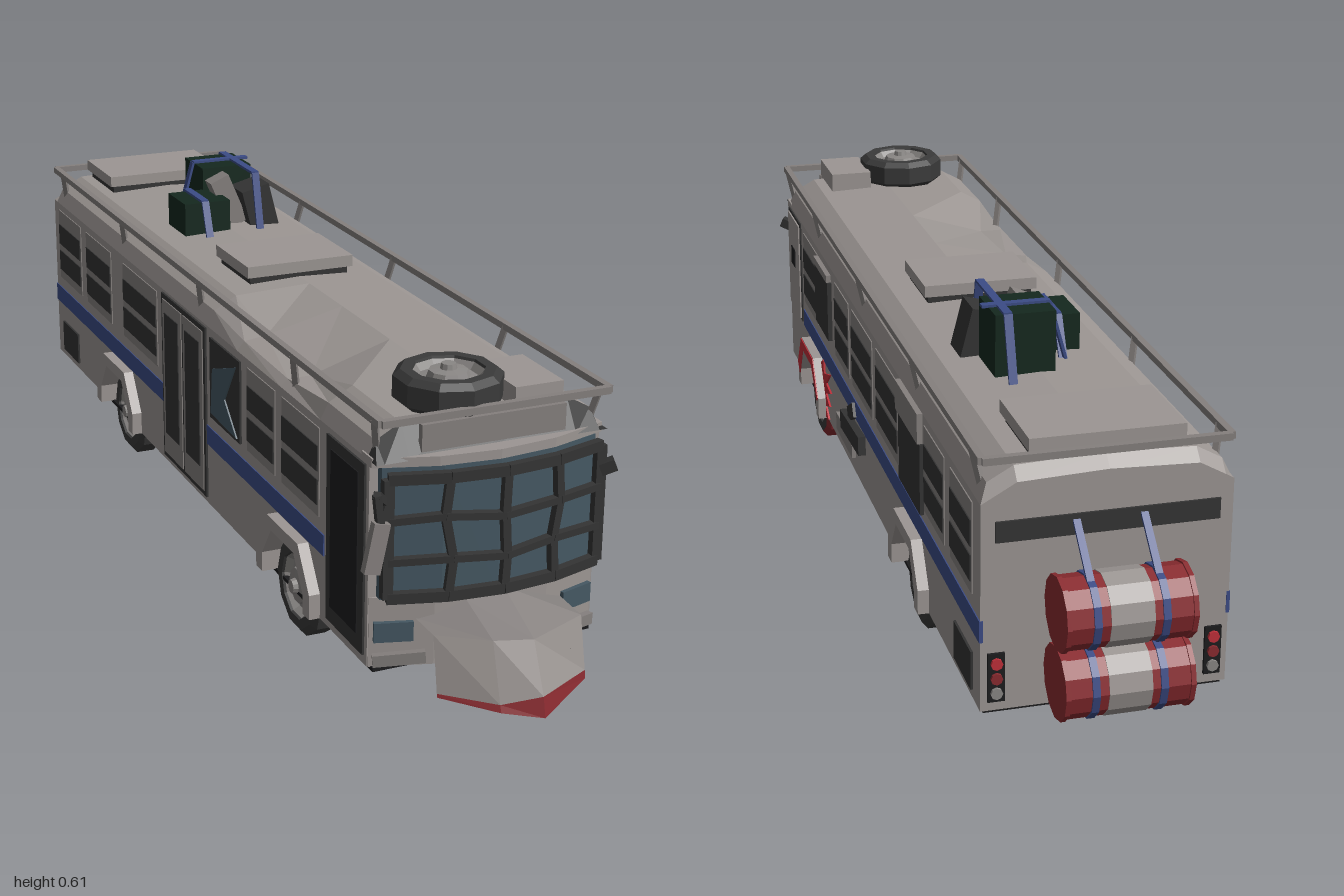
import * as THREE from 'three';

const CX = 0.008, HALF = 0.205, FLOOR = 0.083;
const C = { body: 0x9c9693, trim: 0x85807e, dark: 0x343434, black: 0x1c1c1e, glass: 0x455863, blue: 0x3c4c86,
  red: 0x8a2b30, blood: 0xc0303a, green: 0x14281e, tyre: 0x3a3a3a, rim: 0x8a8785 };

export function createModel() {
  const model = new THREE.Group();
  const mats = {};
  const mat = (c) => mats[c] ??= new THREE.MeshStandardMaterial({ color: C[c], flatShading: true, side: THREE.DoubleSide });
  const add = (name, geo, c, parent = model) => {
    const m = new THREE.Mesh(geo, mat(c));
    m.name = name;
    parent.add(m);
    return m;
  };
  // Box from its bounds
  const box = (name, c, x0, x1, y0, y1, z0, z1) => {
    const m = add(name, new THREE.BoxGeometry(x1 - x0, y1 - y0, z1 - z0), c);
    m.position.set((x0 + x1) / 2, (y0 + y1) / 2, (z0 + z1) / 2);
    return m;
  };
  // Square bar between two points
  const bar = (name, c, p, q, t, w = t) => {
    const a = new THREE.Vector3(...p), b = new THREE.Vector3(...q);
    const m = add(name, new THREE.BoxGeometry(w, t, a.distanceTo(b)), c);
    m.position.copy(a).lerp(b, 0.5);
    m.lookAt(b);
    return m;
  };
  // Side outline [z, y] extruded across x
  const sideways = (name, c, pts, x0, x1) => {
    const g = new THREE.ExtrudeGeometry(new THREE.Shape(pts.map((p) => new THREE.Vector2(...p))), { depth: x1 - x0, bevelEnabled: false });
    return add(name, g.rotateY(-Math.PI / 2).translate(x1, 0, 0), c);
  };
  // Surface through rows of points
  const grid = (name, c, rows) => {
    const n = rows[0].length, idx = [];
    for (let r = 0; r < rows.length - 1; r++) for (let j = 0; j < n - 1; j++) {
      const a = r * n + j, b = a + n;
      idx.push(a, b + 1, b, a, a + 1, b + 1);
    }
    const g = new THREE.BufferGeometry();
    g.setAttribute('position', new THREE.Float32BufferAttribute(rows.flat(2), 3));
    g.setIndex(idx);
    g.computeVertexNormals();
    return add(name, g, c);
  };
  const wallX = (s, out = 0) => CX + s * (HALF + out);
  // Thin panel on a side wall
  const panel = (name, c, s, z0, z1, y0, y1, out = 0.004) => {
    const a = wallX(s, -0.004), b = wallX(s, out);
    return box(name, c, Math.min(a, b), Math.max(a, b), y0, y1, z0, z1);
  };

  // Hull with wheel openings
  const FRONT = 0.505, REAR = -0.414;
  const notch = (z) => [[-0.09, FLOOR], [-0.09, 0.12], [-0.05, 0.178], [0.05, 0.178], [0.09, 0.12], [0.09, FLOOR]].map(([d, y]) => [z + d, y]);
  sideways('hull', 'body', [[-0.875, FLOOR], ...notch(REAR), ...notch(FRONT), [0.81, FLOOR], [0.81, 0.44], [-0.875, 0.44]], wallX(-1), wallX(1));
  box('underside', 'black', wallX(-1, -0.006), wallX(1, -0.006), 0.077, 0.084, -0.87, 0.82);
  box('chassis', 'black', -0.07, 0.086, 0.08, 0.2, -0.8, 0.7);

  // Roof with a dent on the right-hand side
  const section = ([z, dent, drop = 0]) => [[1, 0.44], [0.93, 0.468], [0.72, 0.492], [0, 0.498], [-0.72, 0.492 - dent], [-0.93, 0.468 - dent * 0.4], [-1, 0.44]]
    .map(([u, y]) => [CX + u * HALF, Math.max(0.44, y - drop), z]);
  const stations = [[-0.875, 0, 0.02], [-0.855, 0], [-0.3, 0], [0.1, 0], [0.25, 0.03], [0.45, 0.04], [0.62, 0], [0.8, 0]].map(section);
  grid('roof', 'body', stations);
  grid('roofBack', 'body', [stations[0], stations[0].map(([x, , z]) => [x, 0.44, z])]);
  grid('roofBrow', 'dark', [section([0.8, 0]), section([0.835, 0, 0.1])]);
  bar('signPanel', 'trim', [-0.118, 0.472, 0.826], [0.137, 0.472, 0.826], 0.045, 0.012);

  // Bowed front: bumper, windshield, header
  const bow = (x, off = 0) => 0.86 + off - 0.04 * ((x - CX) / 0.2) ** 2;
  const nose = (name, c, y0, y1, off, half) => {
    const xs = [-1, -0.5, 0, 0.5, 1].map((u) => CX + u * half);
    const pts = [[xs[0], 0.78], ...xs.map((x) => [x, bow(x, off)]), [xs[4], 0.78]];
    const s = new THREE.Shape(pts.map(([x, z]) => new THREE.Vector2(x, -z)));
    const g = new THREE.ExtrudeGeometry(s, { depth: y1 - y0, bevelEnabled: false });
    add(name, g.rotateX(-Math.PI / 2).translate(0, y0, 0), c);
  };
  nose('bumper', 'body', FLOOR, 0.205, -0.008, 0.203);
  nose('windshield', 'glass', 0.205, 0.43, 0, 0.19);
  nose('header', 'body', 0.43, 0.446, 0, 0.205);
  for (const s of [-1, 1]) {
    const x = (d) => CX + s * d;
    bar('headlight', 'glass', [x(0.197), 0.146, bow(x(0.197), -0.005)], [x(0.135), 0.146, bow(x(0.135), -0.008)], 0.034, 0.01);
    bar('lowerBumper', 'trim', [x(0.2), 0.098, 0.82], [x(0.12), 0.105, 0.85], 0.02, 0.012);
  }

  // Windshield cage
  const cols = [-0.18, -0.085, 0.01, 0.105, 0.198], levels = [0.216, 0.278, 0.347, 0.418];
  const knot = (i, j) => {
    const inner = i % 4 && j % 3 ? 1 : 0;
    const x = cols[i] + inner * 0.007 * Math.sin(i * 5 + j * 3);
    return [x, levels[j] + inner * 0.006 * Math.cos(i * 4 + j), bow(x, 0.017)];
  };
  cols.forEach((_, i) => levels.forEach((_, j) => {
    const edgeV = i % 4 ? 0.012 : 0.018, edgeH = j % 3 ? 0.012 : 0.018;
    if (j < 3) bar('cageUpright', 'dark', knot(i, j), knot(i, j + 1), 0.014, edgeV);
    if (i < 4) bar('cageCrossbar', 'dark', knot(i, j), knot(i + 1, j), edgeH, 0.014);
  }));

  // Plough blade with stained lower edge
  const px = [-0.122, -0.04, 0.025, 0.142];
  const row = (ys, zs) => px.map((x, i) => [x, ys[i], zs[i]]);
  const topRow = row([0.165, 0.16, 0.157, 0.152], [0.895, 0.94, 0.955, 0.9]);
  const stainRow = row([0.07, 0.062, 0.074, 0.062], [0.912, 0.97, 0.992, 0.92]);
  grid('ploughBlade', 'body', [topRow, stainRow]);
  grid('ploughStain', 'red', [stainRow, row([0.064, 0.05, 0.04, 0.048], [0.914, 0.975, 1, 0.922])]);
  grid('ploughHood', 'trim', [row([0.165, 0.19, 0.203, 0.155], [0.83, 0.845, 0.85, 0.83]), topRow]);
  for (const x of [-0.08, 0.1]) bar('ploughArm', 'dark', [x, 0.1, 0.82], [x, 0.1, 0.925], 0.02);

  // Wheels and flared arches
  const lathe = (pts) => new THREE.LatheGeometry(pts.map((p) => new THREE.Vector2(...p)), 10);
  const wheel = (name, x, y, z, s, tread = 'tyre') => {
    const g = new THREE.Group();
    g.name = name;
    add('tyre', lathe([[0, -0.028], [0.078, -0.028], [0.09, -0.018], [0.09, 0.018], [0.078, 0.028], [0.06, 0.028], [0.055, 0.012]]), 'tyre', g);
    if (tread !== 'tyre') add('tread', lathe([[0.078, -0.0285], [0.0905, -0.018], [0.0905, 0.018], [0.08, 0.0275]]), tread, g);
    add('rim', lathe([[0.059, 0.024], [0.05, 0.012], [0.036, 0.014], [0.032, 0.025], [0.014, 0.027], [0.012, 0.036], [0, 0.036]]), 'rim', g);
    g.position.set(x, y, z);
    if (s) g.rotation.z = -s * Math.PI / 2;
    model.add(g);
    return g;
  };
  for (const s of [-1, 1]) {
    wheel('frontWheel', CX + s * 0.172, 0.09, FRONT, s, s > 0 ? 'red' : 'tyre');
    wheel('rearWheel', CX + s * 0.168, 0.09, REAR, s);
    wheel('rearInnerWheel', CX + s * 0.108, 0.09, REAR, s);
    for (const z of [FRONT, REAR]) {
      const outer = [[0.118, FLOOR], [0.118, 0.128], [0.068, 0.202], [-0.068, 0.202], [-0.118, 0.128], [-0.118, FLOOR]].map(([d, y]) => [z + d, y]);
      const a = wallX(s, -0.02), b = wallX(s, 0.02);
      sideways('wheelArch', 'body', [...notch(z), ...outer], Math.min(a, b), Math.max(a, b));
    }
  }

  // Side stripe, vents and barred windows
  const windows = { 1: [[0.46, 0.62], [0.13, 0.27], [-0.09, 0.1], [-0.31, -0.125], [-0.65, -0.51], [-0.83, -0.69]],
    '-1': [[0.46, 0.62], [0.3, 0.43], [-0.39, -0.18], [-0.64, -0.47], [-0.84, -0.68]] };
  for (const s of [-1, 1]) {
    panel('stripe', 'blue', s, -0.876, 0.64, 0.205, 0.243, 0.002);
    panel('sideVent', 'dark', s, -0.83, -0.72, 0.098, 0.166);
    for (const [z0, z1] of windows[s]) {
      panel('windowFrame', 'trim', s, z0, z1, 0.268, 0.425, 0.002);
      for (const y of [0.288, 0.348]) panel('windowSlit', 'dark', s, z0 + 0.004, z1 - 0.004, y, y + 0.045, 0.004);
    }
  }

  // Left side: door, boarded windows, patch planks, stain
  panel('doorFrame', 'dark', 1, 0.652, 0.795, 0.21, 0.435, 0.003);
  panel('door', 'body', 1, 0.66, 0.787, 0.216, 0.428, 0.006);
  panel('doorWindow', 'black', 1, 0.705, 0.745, 0.32, 0.36, 0.008);
  panel('boardedWindow', 'dark', 1, 0.31, 0.45, 0.285, 0.41, 0.009);
  panel('boardTop', 'trim', 1, 0.315, 0.455, 0.41, 0.425, 0.01);
  panel('boardedWindow', 'dark', 1, -0.5, -0.335, 0.255, 0.385, 0.007);
  panel('boardTop', 'trim', 1, -0.495, -0.325, 0.385, 0.44, 0.01);
  panel('patchPlank', 'dark', 1, -0.01, 0.17, 0.157, 0.195, 0.015).rotation.x = 0.06;
  panel('patchPlank', 'trim', 1, 0.09, 0.25, 0.115, 0.152, 0.008);
  panel('patchPlank', 'dark', 1, 0.07, 0.13, 0.195, 0.225, 0.008).rotation.x = 0.5;
  sideways('stain', 'blood', [[0.4, 0.084], [0.36, 0.09], [0.39, 0.11], [0.345, 0.125], [0.385, 0.14], [0.33, 0.16], [0.38, 0.165], [0.335, 0.2],
    [0.4, 0.18], [0.405, 0.21], [0.44, 0.19], [0.49, 0.19], [0.56, 0.195], [0.54, 0.17], [0.45, 0.165], [0.42, 0.12]], wallX(1), wallX(1, 0.004));
  sideways('archStain', 'blood', [[0.6, 0.11], [0.62, 0.13], [0.573, 0.2], [0.437, 0.2], [0.39, 0.13], [0.4, 0.12], [0.455, 0.18], [0.555, 0.18]], wallX(1, 0.02), wallX(1, 0.022));

  // Right side: front door, middle double door, broken window
  panel('frontDoor', 'dark', -1, 0.655, 0.8, 0.1, 0.43);
  panel('frontDoorGlass', 'black', -1, 0.675, 0.78, 0.13, 0.41, 0.006);
  panel('middleDoorFrame', 'dark', -1, -0.145, 0.095, 0.095, 0.435);
  for (const z of [-0.135, -0.02]) {
    panel('middleDoorLeaf', 'trim', -1, z, z + 0.105, 0.105, 0.425, 0.006);
    panel('middleDoorGlass', 'dark', -1, z + 0.015, z + 0.09, 0.15, 0.4, 0.008);
  }
  panel('brokenWindow', 'dark', -1, 0.12, 0.27, 0.268, 0.425);
  sideways('glassShard', 'glass', [[0.13, 0.28], [0.26, 0.275], [0.2, 0.33], [0.255, 0.41], [0.14, 0.37]], wallX(-1, 0.007), wallX(-1, 0.004));

  // Back: window band, lamps, drums with straps
  box('backWindow', 'dark', -0.175, 0.19, 0.375, 0.41, -0.879, -0.87);
  for (const s of [-1, 1]) {
    box('lampPanel', 'black', CX + s * 0.18 - 0.014, CX + s * 0.18 + 0.014, 0.1, 0.185, -0.88, -0.87);
    ['rim', 'red', 'blood'].forEach((c, i) => {
      const lamp = add('backLamp', new THREE.CylinderGeometry(0.01, 0.01, 0.01, 8).rotateX(Math.PI / 2), c);
      lamp.position.set(CX + s * 0.18, 0.116 + i * 0.026, -0.88);
    });
  }
  const disc = (name, c, r, x0, x1, y, z) => {
    const g = new THREE.CylinderGeometry(r, r, x1 - x0, 12).rotateZ(Math.PI / 2);
    add(name, g, c).position.set((x0 + x1) / 2, y, z);
  };
  for (const y of [0.275, 0.156]) {
    disc('drum', 'red', 0.059, -0.098, 0.108, y, -0.938);
    for (const x of [-0.1, 0.102]) disc('drumRim', 'red', 0.062, x, x + 0.008, y, -0.938);
    disc('drumBand', 'body', 0.0605, -0.03, 0.04, y, -0.938);
    for (const x of [-0.055, 0.055]) disc('drumStrap', 'blue', 0.062, x, x + 0.012, y, -0.938);
  }
  for (const x of [-0.049, 0.061]) bar('strapTie', 'blue', [x, 0.325, -0.96], [x, 0.4, -0.878], 0.005, 0.012);

  // Roof rail
  const L = -0.192, R = 0.21, Y = 0.51;
  for (const x of [L, R]) {
    const s = Math.sign(x);
    bar('rail', 'trim', [x, Y, -0.87], [x, Y, 0.84], 0.012);
    for (const z of [-0.83, -0.42, 0.03, 0.48, 0.8]) bar('railPost', 'trim', [x - s * 0.012, 0.448, z], [x, Y, z + 0.015], 0.01);
  }
  for (const z of [-0.87, 0.84]) bar('railEnd', 'trim', [L, Y, z], [R, Y, z], 0.012);

  // Roof units, hatch and spare wheel
  for (const [x0, x1, z0, z1] of [[-0.125, 0.13, -0.85, -0.68], [-0.1, 0.115, -0.105, 0.06]]) {
    box('roofUnitBase', 'dark', x0 + 0.008, x1 - 0.008, 0.485, 0.512, z0 + 0.008, z1 - 0.008);
    box('roofUnit', 'body', x0, x1, 0.508, 0.53, z0, z1);
  }
  box('roofHatch', 'body', 0.048, 0.134, 0.485, 0.531, 0.69, 0.825);
  wheel('spareWheel', -0.033, 0.523, 0.75, 0);

  // Strapped luggage
  box('smallCrate', 'green', -0.092, 0.005, 0.49, 0.56, -0.4, -0.3);
  box('largeCrate', 'green', -0.018, 0.088, 0.49, 0.605, -0.5, -0.395);
  box('canister', 'trim', 0, 0.042, 0.49, 0.597, -0.38, -0.345).rotation.z = 0.4;
  box('bag', 'dark', 0.05, 0.11, 0.485, 0.575, -0.39, -0.32).rotation.z = 0.25;
  const strap = (x, top, z0, z1) => {
    const pts = [[z0 - 0.04, 0.492], [z0 - 0.003, top], [z1 + 0.003, top], [z1 + 0.03, 0.492]];
    for (let i = 0; i < 3; i++) bar('luggageStrap', 'blue', [x, pts[i][1], pts[i][0]], [x, pts[i + 1][1], pts[i + 1][0]], 0.005, 0.015);
  };
  strap(0.067, 0.607, -0.5, -0.32);
  strap(-0.05, 0.563, -0.4, -0.3);
  bar('crossStrap', 'blue', [-0.05, 0.5, -0.45], [-0.02, 0.607, -0.45], 0.005, 0.015);
  bar('crossStrap', 'blue', [-0.02, 0.607, -0.45], [0.1, 0.607, -0.45], 0.005, 0.015);

  // Mirrors
  bar('mirrorArm', 'dark', [-0.185, 0.38, 0.84], [-0.212, 0.408, 0.87], 0.012);
  bar('mirrorArm', 'dark', [-0.212, 0.408, 0.87], [-0.205, 0.35, 0.87], 0.012);
  bar('mirror', 'trim', [-0.205, 0.362, 0.872], [-0.222, 0.28, 0.872], 0.028, 0.014);
  bar('mirrorStub', 'dark', [0.2, 0.375, 0.84], [0.222, 0.385, 0.85], 0.02);
  return model;
}
